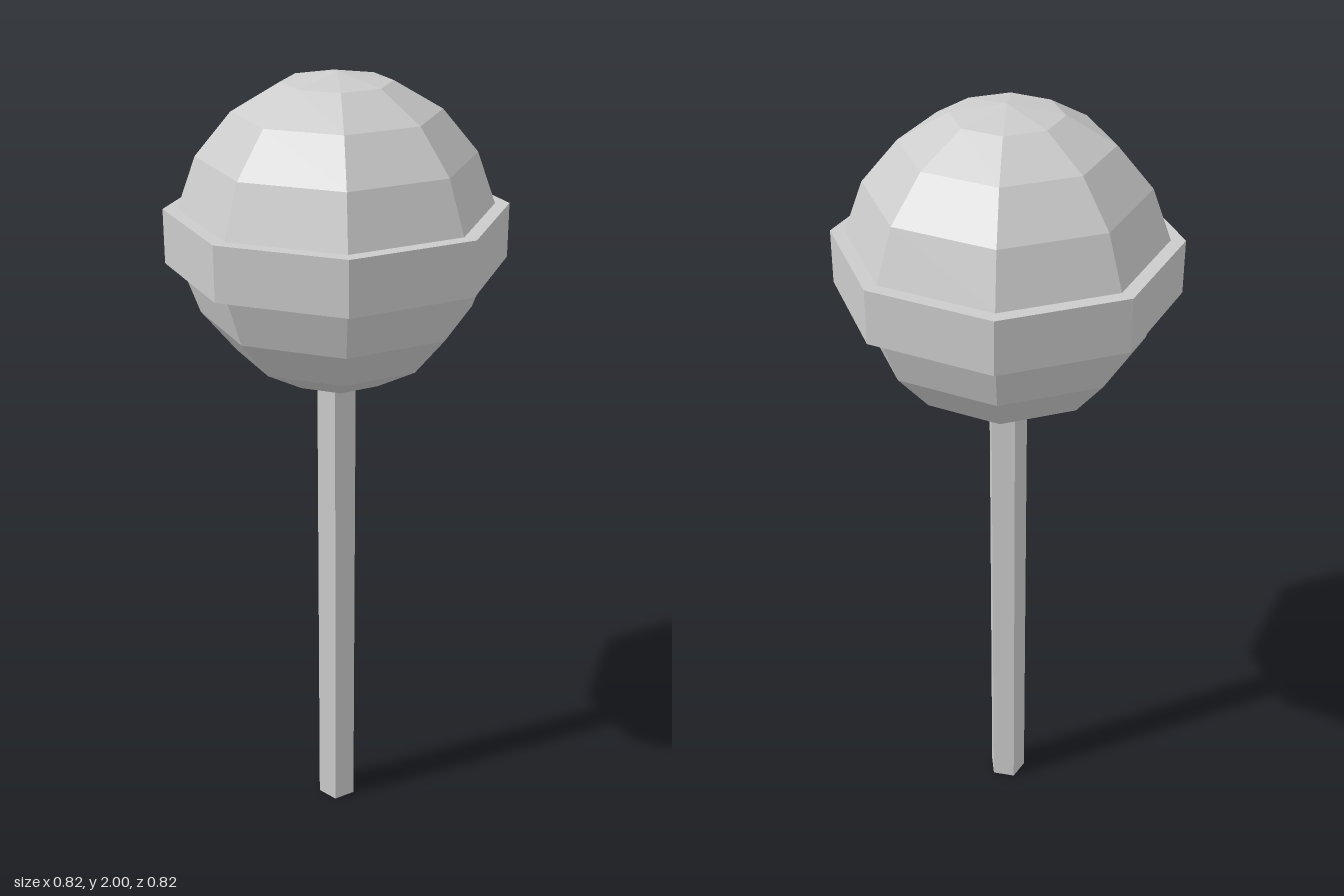
import * as THREE from 'three';

export function createModel() {
  const model = new THREE.Group();
  model.name = 'lollipop';
  const material = new THREE.MeshStandardMaterial({ color: 0xcccccc, flatShading: true });

  const radius = 0.38, centre = 1.62, sides = 8;

  const add = (name, geometry, y) => {
    const mesh = new THREE.Mesh(geometry, material);
    mesh.name = name;
    mesh.position.y = y;
    model.add(mesh);
  };

  // Faceted candy ball
  add('candyBall', new THREE.SphereGeometry(radius, sides, 9), centre);

  // Raised band around the middle facets of the ball
  const inner = radius * Math.sin(Math.PI * 4 / 9);
  const half = radius * Math.cos(Math.PI * 4 / 9);
  const profile = [[inner, -half], [0.409, -half], [0.409, half], [inner, half]]
    .map(([x, y]) => new THREE.Vector2(x, y));
  add('band', new THREE.LatheGeometry(profile, sides), centre);

  // Five-sided stick, one corner towards +x, ending just inside the ball
  const length = 1.27;
  add('stick', new THREE.CylinderGeometry(0.05, 0.05, length, 5, 1, false, Math.PI / 2), length / 2);

  return model;
}
